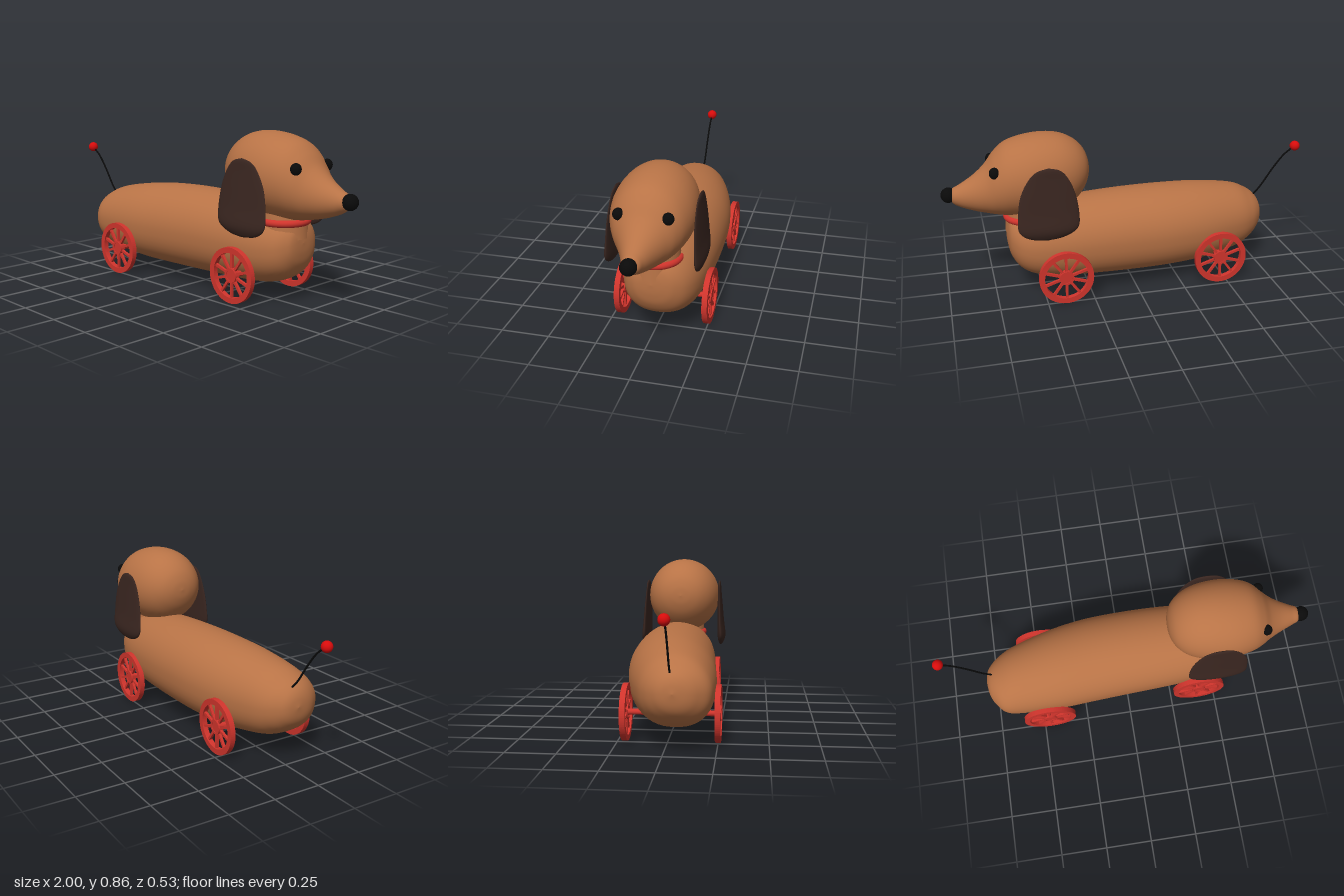
import * as THREE from 'three';

const paint = (color) => new THREE.MeshStandardMaterial({ color });
const brown = paint(0xb87346);
const darkBrown = paint(0x3a2620);
const red = paint(0xd0342c);
const brightRed = paint(0xd80c0c);
const black = paint(0x0a0a0a);

function add(parent, name, geometry, material, x = 0, y = 0, z = 0) {
  const mesh = new THREE.Mesh(geometry, material);
  mesh.name = name;
  mesh.position.set(x, y, z);
  parent.add(mesh);
  return mesh;
}

// Smooth skin along x through oval sections [x, bottom, top, zMin, zMax];
// flat > 2 squares off the lower half of each section.
function loft(sections, flat = 2, steps = 64, sides = 48) {
  const a = new THREE.CatmullRomCurve3(
    sections.map(([x, b, t]) => new THREE.Vector3(x, (b + t) / 2, (t - b) / 2)), false, 'catmullrom');
  const b = new THREE.CatmullRomCurve3(
    sections.map(([, , , z0, z1]) => new THREE.Vector3((z0 + z1) / 2, (z1 - z0) / 2, 0)), false, 'catmullrom');
  const pos = [], index = [];
  for (let i = 0; i <= steps; i++) {
    const p = a.getPoint(i / steps), q = b.getPoint(i / steps);
    for (let j = 0; j < sides; j++) {
      const ang = (j / sides) * Math.PI * 2;
      const c = Math.cos(ang), s = Math.sin(ang);
      const e = c < 0 ? 2 / flat : 1;
      pos.push(p.x,
        p.y + Math.max(p.z, 0) * Math.sign(c) * Math.abs(c) ** e,
        q.x + Math.max(q.y, 0) * Math.sign(s) * Math.abs(s) ** e);
      if (i < steps) {
        const k = i * sides + j, n = i * sides + (j + 1) % sides;
        index.push(k, n, k + sides, n, n + sides, k + sides);
      }
    }
  }
  const g = new THREE.BufferGeometry();
  g.setAttribute('position', new THREE.Float32BufferAttribute(pos, 3));
  g.setIndex(index);
  g.computeVertexNormals();
  return g;
}

// Spoked wheel with its axis along z
function makeWheel(name, x, z) {
  const wheel = new THREE.Group();
  wheel.name = name;
  wheel.position.set(x, 0.144, z);
  const ring = (outer, inner, depth) => {
    const s = new THREE.Shape().absarc(0, 0, outer, 0, Math.PI * 2);
    s.holes.push(new THREE.Path().absarc(0, 0, inner, 0, Math.PI * 2, true));
    return new THREE.ExtrudeGeometry(s, { depth, bevelEnabled: false, curveSegments: 40 })
      .translate(0, 0, -depth / 2);
  };
  add(wheel, 'rim', ring(0.144, 0.115, 0.028), red);
  add(wheel, 'hubRing', ring(0.038, 0.027, 0.028), red);
  add(wheel, 'hub', new THREE.CylinderGeometry(0.029, 0.029, 0.022, 24).rotateX(Math.PI / 2), red);
  for (let i = 0; i < 10; i++) {
    const spoke = add(wheel, 'spoke', new THREE.BoxGeometry(0.09, 0.013, 0.014).translate(0.077, 0, 0), red);
    spoke.rotation.z = (i / 10) * Math.PI * 2 + Math.PI / 10;
  }
  return wheel;
}

export function createModel() {
  const dog = new THREE.Group();
  dog.name = 'pullAlongDog';

  // Long body, turned slightly off the x axis
  add(dog, 'body', loft([
    [-0.776, 0.30, 0.30, 0.05, 0.05],
    [-0.765, 0.235, 0.355, -0.01, 0.12],
    [-0.74, 0.19, 0.395, -0.05, 0.17],
    [-0.69, 0.145, 0.43, -0.095, 0.22],
    [-0.6, 0.105, 0.468, -0.14, 0.235],
    [-0.4, 0.076, 0.502, -0.2, 0.238],
    [-0.2, 0.069, 0.517, -0.234, 0.226],
    [0, 0.069, 0.52, -0.245, 0.214],
    [0.2, 0.073, 0.513, -0.246, 0.203],
    [0.4, 0.08, 0.497, -0.236, 0.187],
    [0.53, 0.1, 0.475, -0.215, 0.165],
    [0.61, 0.14, 0.45, -0.18, 0.135],
    [0.655, 0.2, 0.42, -0.13, 0.09],
    [0.672, 0.26, 0.375, -0.08, 0.05],
    [0.677, 0.32, 0.32, -0.015, -0.015],
  ], 2.3, 84), brown);

  // Head tapering into the snout
  add(dog, 'head', loft([
    [0.226, 0.665, 0.665, 0, 0],
    [0.234, 0.61, 0.72, -0.06, 0.06],
    [0.26, 0.55, 0.775, -0.115, 0.115],
    [0.31, 0.492, 0.822, -0.16, 0.16],
    [0.38, 0.455, 0.853, -0.19, 0.19],
    [0.47, 0.437, 0.863, -0.205, 0.205],
    [0.57, 0.433, 0.853, -0.205, 0.205],
    [0.66, 0.437, 0.825, -0.185, 0.185],
    [0.72, 0.445, 0.775, -0.155, 0.155],
    [0.77, 0.455, 0.712, -0.12, 0.12],
    [0.83, 0.47, 0.66, -0.087, 0.087],
    [0.9, 0.495, 0.617, -0.056, 0.056],
    [0.94, 0.52, 0.595, -0.038, 0.038],
    [0.955, 0.557, 0.557, 0, 0],
  ], 2, 84), brown);

  // Neck and collar
  add(dog, 'neck', new THREE.CylinderGeometry(0.12, 0.13, 0.16, 32), brown, 0.55, 0.42, -0.008);
  add(dog, 'collar', new THREE.TorusGeometry(0.12, 0.019, 16, 48).rotateX(Math.PI / 2),
    red, 0.55, 0.422, -0.008);

  // Nose, eyes and hanging ears
  add(dog, 'nose', new THREE.SphereGeometry(0.04, 32, 20), black, 0.96, 0.563, 0.003);
  for (const side of [1, -1]) {
    const label = side > 0 ? 'left' : 'right';
    const eye = add(dog, label + 'Eye', new THREE.SphereGeometry(0.03, 24, 16), black, 0.728, 0.704, side * 0.118);
    eye.scale.set(0.9, 1, 0.95);

    // Each row: height, edges in x, inner and outer distance from the middle
    const rows = [
      [0.355, 0.48, 0.48, 0.222, 0.222],
      [0.37, 0.395, 0.575, 0.21, 0.236],
      [0.415, 0.327, 0.63, 0.202, 0.248],
      [0.5, 0.32, 0.632, 0.202, 0.238],
      [0.6, 0.337, 0.615, 0.202, 0.229],
      [0.68, 0.37, 0.575, 0.203, 0.222],
      [0.725, 0.41, 0.53, 0.205, 0.219],
      [0.742, 0.468, 0.468, 0.212, 0.212],
    ].map(([y, x0, x1, zi, zo]) => [y, -x1, -x0, Math.min(side * zi, side * zo), Math.max(side * zi, side * zo)]);
    add(dog, label + 'Ear', loft(rows, 2, 48).rotateZ(Math.PI / 2), darkBrown);
  }

  // Springy tail with a ball on the end
  const tailPath = new THREE.CatmullRomCurve3([
    [-0.72, 0.38], [-0.77, 0.43], [-0.85, 0.545], [-0.91, 0.618], [-0.972, 0.665],
  ].map(([x, y]) => new THREE.Vector3(x, y, 0.036)));
  add(dog, 'tail', new THREE.TubeGeometry(tailPath, 32, 0.005, 8), black);
  add(dog, 'tailBall', new THREE.SphereGeometry(0.028, 24, 16), brightRed, -0.972, 0.665, 0.036);

  // Wheels on two axles, following the turn of the body
  for (const [place, x, zLeft, zRight] of [['rear', -0.46, 0.25, -0.211], ['front', 0.4, 0.206, -0.249]]) {
    dog.add(makeWheel(place + 'LeftWheel', x, zLeft), makeWheel(place + 'RightWheel', x, zRight));
    add(dog, place + 'Axle', new THREE.CylinderGeometry(0.015, 0.015, zLeft - zRight, 16).rotateX(Math.PI / 2),
      red, x, 0.144, (zLeft + zRight) / 2);
  }
  return dog;
}
